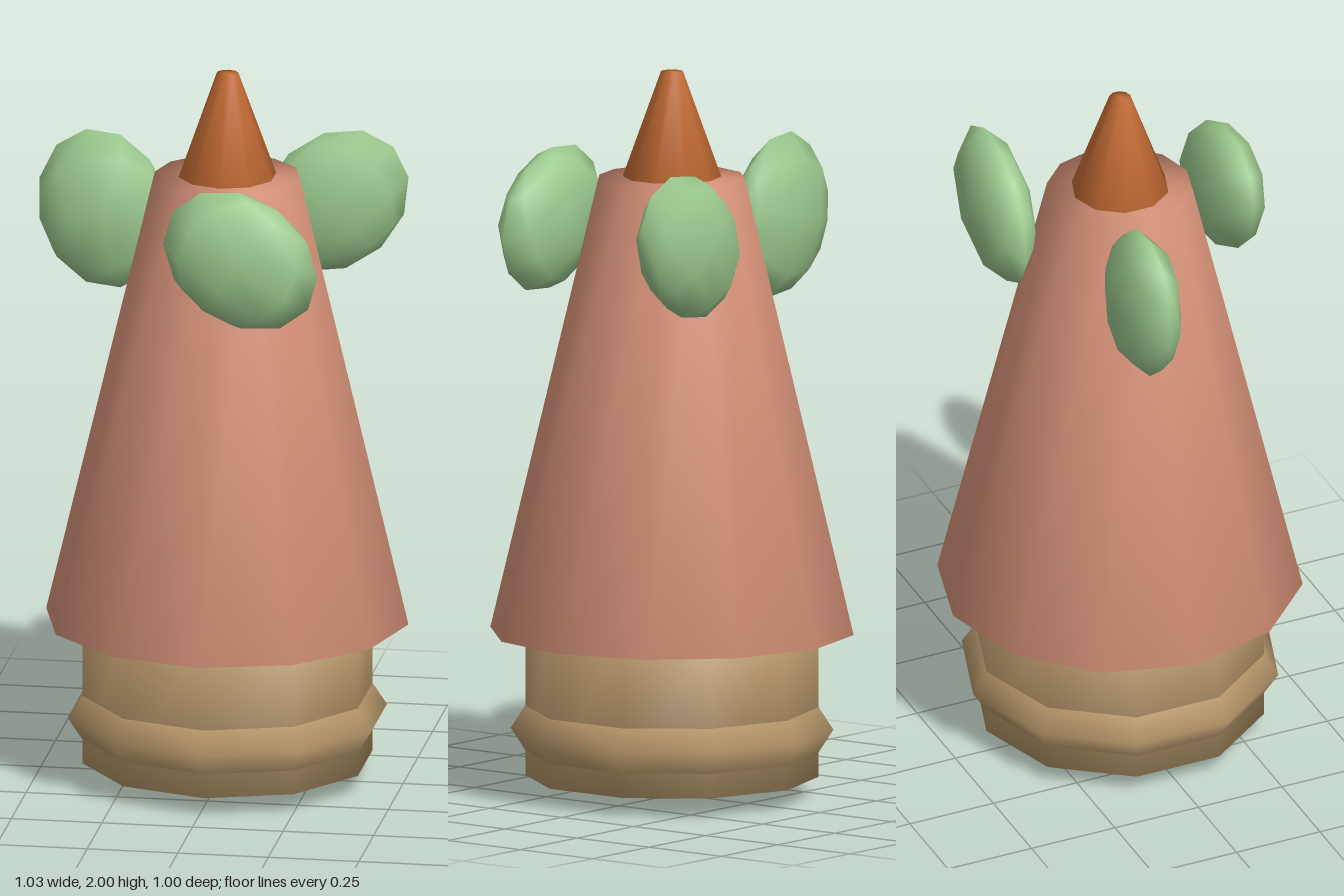
import * as THREE from 'three';
import { mergeVertices } from 'three/addons/utils/BufferGeometryUtils.js';

const CENTRE_X = 0.015;

function material(name, color) {
  const m = new THREE.MeshStandardMaterial({ color });
  m.name = name;
  return m;
}

// Capped low-poly frustum whose normals run smoothly over its rims
function softFrustum(topRadius, bottomRadius, bottomY, topY, sides) {
  const g = new THREE.CylinderGeometry(topRadius, bottomRadius, topY - bottomY, sides);
  g.deleteAttribute('normal');
  g.deleteAttribute('uv');
  const merged = mergeVertices(g, 1e-4);
  merged.computeVertexNormals();
  merged.translate(CENTRE_X, (bottomY + topY) / 2, 0);
  return merged;
}

export function createModel() {
  const group = new THREE.Group();
  const tan = material('tan', 0xb9996b);
  const salmon = material('salmon', 0xdb957b);
  const orange = material('orange', 0xc56c34);
  const green = material('leaf green', 0x9dca8f);

  const add = (name, geometry, mat) => {
    const mesh = new THREE.Mesh(geometry, mat);
    mesh.name = name;
    group.add(mesh);
    return mesh;
  };

  // Base: short column with a squashed ball bulging out around and below it
  add('baseColumn', softFrustum(0.4, 0.4, 0.055, 0.5, 10), tan);
  const bulge = new THREE.SphereGeometry(1, 10, 6);
  bulge.rotateY(Math.PI / 2).scale(0.44, 0.183, 0.44).translate(CENTRE_X, 0.185, 0);
  add('baseBulge', bulge, tan);

  // Tapering body and pointed tip
  add('body', softFrustum(0.2, 0.5, 0.455, 1.71, 12), salmon);
  add('tip', softFrustum(0.03, 0.138, 1.7, 2, 10), orange);

  // Flat oval leaves: centre and tilt of the long axis in degrees
  const leafGeometry = new THREE.SphereGeometry(1, 8, 6).scale(0.228, 0.18, 0.085);
  const leaves = [
    ['leftLeaf', 0.27, 1.573, -0.257, 45],
    ['frontLeaf', 0.107, 1.573, 0.348, -35],
    ['rightLeaf', -0.343, 1.57, -0.095, 102],
  ];
  for (const [name, x, y, z, tilt] of leaves) {
    const leaf = add(name, leafGeometry, green);
    leaf.position.set(x, y, z);
    leaf.rotation.z = THREE.MathUtils.degToRad(tilt);
  }

  return group;
}
